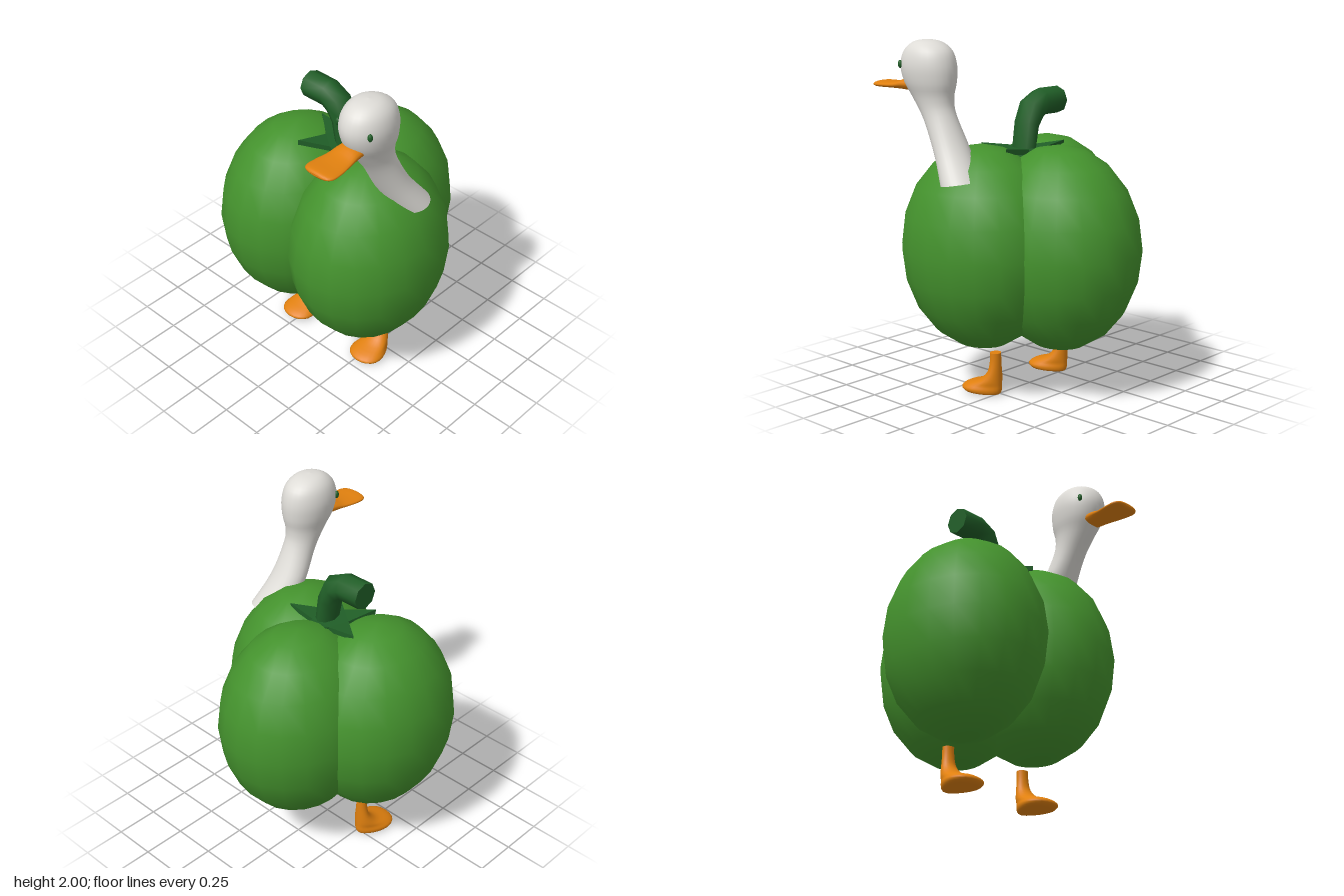
import * as THREE from 'three';

const V = (x, y, z) => new THREE.Vector3(x, y, z);

// Skin over elliptical rings { c: centre, u, v: half axes, taper }, with u x v along the path
function loft(rings, sides, flat = false) {
  const pos = [], idx = [];
  const point = (r, j) => {
    const t = (j / sides) * Math.PI * 2, s = Math.sin(t);
    return r.c.clone()
      .addScaledVector(r.u, Math.cos(t) * (1 - (r.taper || 0) * s))
      .addScaledVector(r.v, s);
  };
  const addRing = (r) => {
    const start = pos.length / 3;
    for (let j = 0; j < sides; j++) pos.push(...point(r, j).toArray());
    return start;
  };
  rings.forEach(addRing);
  for (let i = 0; i < rings.length - 1; i++) {
    for (let j = 0; j < sides; j++) {
      const a = i * sides + j, b = i * sides + (j + 1) % sides;
      idx.push(a, b, a + sides, b, b + sides, a + sides);
    }
  }
  // End caps with their own vertices, so their rims stay sharp
  [rings[0], rings[rings.length - 1]].forEach((r, end) => {
    const s = addRing(r), m = pos.length / 3;
    pos.push(...r.c.toArray());
    for (let j = 0; j < sides; j++) {
      const a = s + j, b = s + (j + 1) % sides;
      if (end) idx.push(m, a, b); else idx.push(m, b, a);
    }
  });
  let g = new THREE.BufferGeometry();
  g.setAttribute('position', new THREE.Float32BufferAttribute(pos, 3));
  g.setIndex(idx);
  if (flat) g = g.toNonIndexed();
  g.computeVertexNormals();
  return g;
}

// Smoothly interpolate rows of numbers
function smoothRows(rows, steps) {
  const out = [], n = rows.length - 1;
  for (let k = 0; k <= n * steps; k++) {
    const i = Math.min(Math.floor(k / steps), n - 1), t = k / steps - i;
    const p = (d) => rows[Math.max(0, Math.min(n, i + d))];
    out.push(rows[i].map((_, q) => {
      const a = p(-1)[q], b = p(0)[q], c = p(1)[q], d = p(2)[q];
      return b + 0.5 * t * (c - a + t * (2 * a - 5 * b + 4 * c - d + t * (3 * (b - c) + d - a)));
    }));
  }
  return out;
}

export function createModel() {
  const model = new THREE.Group();
  model.name = 'pepperBird';
  const mat = (name, color) => {
    const m = new THREE.MeshStandardMaterial({ color });
    m.name = name;
    return m;
  };
  const green = mat('pepperGreen', 0x44922d);
  const darkGreen = mat('stemGreen', 0x205e27);
  const white = mat('featherWhite', 0xdedcd7);
  const orange = mat('beakOrange', 0xe0800f);
  const add = (name, geometry, material, parent = model) => {
    const m = new THREE.Mesh(geometry, material);
    m.name = name;
    parent.add(m);
    return m;
  };

  // Three overlapping lobes of the body
  const lobe = new THREE.SphereGeometry(1, 20, 10);
  [['leftLobe', 0.27, 0.11], ['rightLobe', -0.27, 0.11], ['backLobe', 0, -0.23]].forEach(([name, x, z]) => {
    const m = add(name, lobe, green);
    m.scale.set(0.425, 0.58, 0.48);
    m.position.set(x, 0.85, z);
  });

  // Bent octagonal stem: x, y, half width in the bend plane, direction angle
  const stem = [
    [0.03, 1.3, 0.053, 0], [0.022, 1.38, 0.053, 0.1], [-0.002, 1.52, 0.06, 0.3],
    [-0.045, 1.6, 0.077, 0.8], [-0.11, 1.635, 0.077, 1.5], [-0.255, 1.635, 0.077, Math.PI / 2],
  ].map(([x, y, r, a]) => ({
    c: V(x, y, 0.022), u: V(Math.cos(a) * r, Math.sin(a) * r, 0), v: V(0, 0, -0.078),
  }));
  add('stem', loft(stem, 8), darkGreen);

  // Five-pointed leaf star under the stem, tips bent slightly up
  const star = new THREE.Shape();
  for (let i = 0; i < 10; i++) {
    const a = Math.PI / 2 + (i * Math.PI) / 5, r = i % 2 ? 0.105 : 0.25;
    star[i ? 'lineTo' : 'moveTo'](Math.cos(a) * r, Math.sin(a) * r);
  }
  star.closePath();
  const leaf = new THREE.ExtrudeGeometry(star, { depth: 0.03, bevelEnabled: false });
  leaf.rotateX(-Math.PI / 2);
  const lp = leaf.attributes.position;
  for (let i = 0; i < lp.count; i++) {
    const d = Math.hypot(lp.getX(i), lp.getZ(i));
    lp.setY(i, lp.getY(i) + (d > 0.2 ? 0.02 : 0));
  }
  leaf.computeVertexNormals();
  add('leafStar', leaf, darkGreen).position.set(0, 1.36, 0.03);

  // Neck and head: x, half width, front y and z, back y and z
  const neck = smoothRows([
    [0.5, 0.113, 1.225, 0.14, 1.26, -0.057],
    [0.457, 0.108, 1.38, 0.23, 1.42, 0.06],
    [0.453, 0.09, 1.56, 0.33, 1.6, 0.152],
    [0.454, 0.1, 1.68, 0.415, 1.69, 0.166],
    [0.455, 0.126, 1.77, 0.475, 1.77, 0.152],
    [0.455, 0.136, 1.86, 0.497, 1.86, 0.152],
    [0.455, 0.117, 1.94, 0.472, 1.94, 0.18],
    [0.455, 0.07, 1.987, 0.41, 1.987, 0.25],
    [0.455, 0.002, 2.0, 0.334, 2.0, 0.33],
  ], 4).map(([x, r, fy, fz, by, bz]) => ({
    c: V(x, (fy + by) / 2, (fz + bz) / 2),
    u: V(r, 0, 0),
    v: V(0, (by - fy) / 2, (bz - fz) / 2),
  }));
  add('neckAndHead', loft(neck, 28), white);

  // Flat beak: z, y, half width, half height
  const beak = smoothRows([
    [0.42, 1.75, 0.066, 0.036], [0.48, 1.748, 0.072, 0.034], [0.54, 1.739, 0.08, 0.022],
    [0.61, 1.736, 0.092, 0.018], [0.67, 1.736, 0.094, 0.019], [0.7, 1.737, 0.075, 0.016],
    [0.71, 1.737, 0.04, 0.006],
  ], 3).map(([z, y, w, h]) => ({ c: V(0.455, y, z), u: V(w, 0, 0), v: V(0, h, 0) }));
  add('beak', loft(beak, 20), orange);

  // Feet: y, back z, front z, half width, toe spread
  const foot = loft(smoothRows([
    [0.005, 0.0, 0.17, 0.055, 0.3], [0.013, -0.022, 0.2, 0.088, 0.3],
    [0.035, -0.03, 0.22, 0.1, 0.3], [0.06, -0.03, 0.185, 0.085, 0.25],
    [0.09, -0.03, 0.1, 0.066, 0.1], [0.14, -0.03, 0.045, 0.046, 0],
    [0.2, -0.03, 0.031, 0.035, 0], [0.255, -0.03, 0.03, 0.033, 0],
  ], 3).map(([y, b, f, w, taper]) => ({
    c: V(0, y, (b + f) / 2), u: V(w, 0, 0), v: V(0, 0, (b - f) / 2), taper,
  })), 24);

  // Mirrored feet and eyes
  const eye = new THREE.SphereGeometry(1, 12, 8);
  [['left', 1], ['right', -1]].forEach(([side, s]) => {
    add(side + 'Foot', foot, orange).position.set(s * 0.28, 0, 0);
    const e = add(side + 'Eye', eye, darkGreen);
    e.scale.set(0.013, 0.022, 0.014);
    e.position.set(0.455 + s * 0.108, 1.865, 0.435);
  });
  return model;
}
